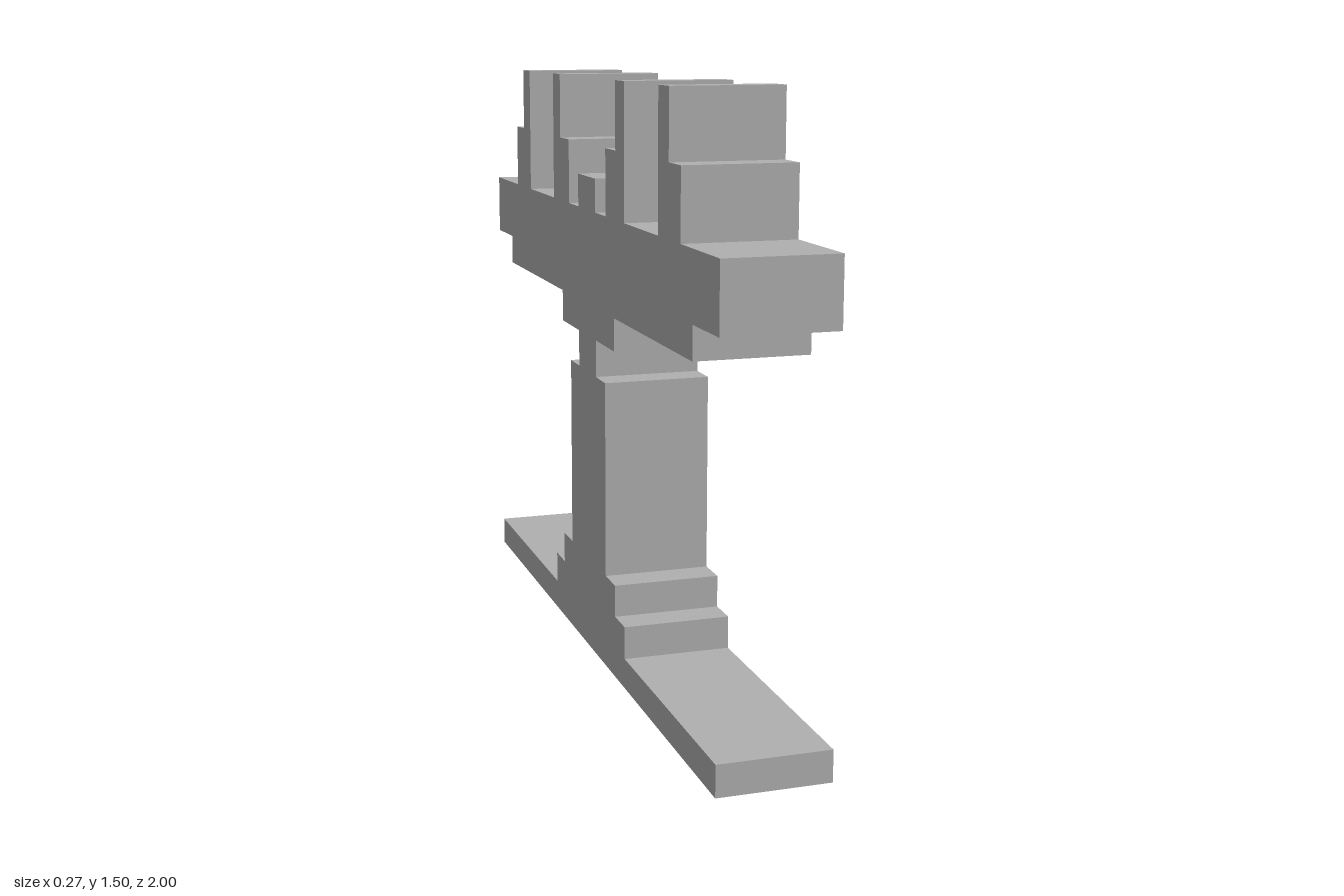
import * as THREE from 'three';

const WIDTH = 0.274;

export function createModel() {
  const group = new THREE.Group();
  group.name = 'steppedStand';
  const grey = new THREE.MeshStandardMaterial({ color: 0xb0b0b0 });
  grey.name = 'grey';

  // Half of the side outline, from the bottom up: [distance from centre, height]
  const half = [
    // foot and stepped base
    [1, 0], [1, 0.077], [0.33, 0.077], [0.33, 0.16], [0.247, 0.16], [0.247, 0.242],
    // column and narrow neck
    [0.163, 0.242], [0.163, 0.747], [0.08, 0.747], [0.08, 0.842],
    // stepped underside and end of the beam
    [0.245, 0.842], [0.245, 0.925], [0.833, 0.925], [0.833, 1.005], [1, 1.005], [1, 1.168],
    // outer prong
    [0.75, 1.168], [0.75, 1.337], [0.667, 1.337], [0.667, 1.502], [0.592, 1.502], [0.592, 1.168],
    // inner prong
    [0.33, 1.168], [0.33, 1.502], [0.258, 1.502], [0.258, 1.335], [0.172, 1.335], [0.172, 1.168],
    // centre block
    [0.08, 1.168], [0.08, 1.253],
  ];
  const mirrored = half.map(([d, y]) => [-d, y]).reverse();
  const outline = [...half, ...mirrored].map(([d, y]) => new THREE.Vector2(d, y));

  // Extrude across the width, then turn the outline to run along z
  const geometry = new THREE.ExtrudeGeometry(new THREE.Shape(outline), {
    depth: WIDTH,
    bevelEnabled: false,
  });
  geometry.translate(0, 0, -WIDTH / 2);
  geometry.rotateY(-Math.PI / 2);

  const body = new THREE.Mesh(geometry, grey);
  body.name = 'standWithProngedBeam';
  group.add(body);
  return group;
}
